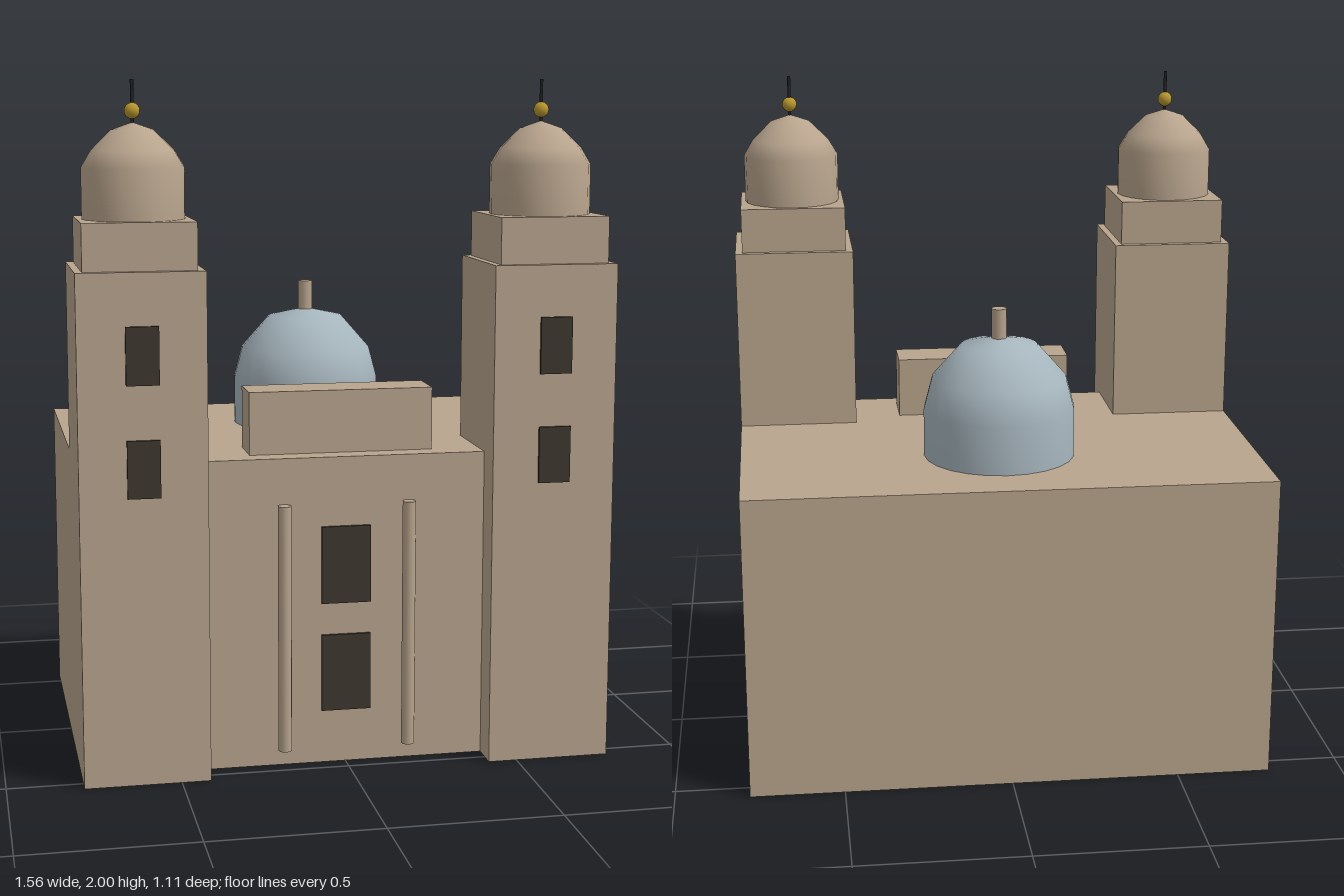
import * as THREE from 'three';

const material = (name, color) => {
  const m = new THREE.MeshStandardMaterial({ color });
  m.name = name;
  return m;
};

export function createModel() {
  const stone = material('sandstone', 0xb8a48d);
  const slate = material('pale blue dome', 0xa6b5bd);
  const dark = material('dark opening', 0x3d372e);
  const gold = material('gold', 0xb8962e);
  const iron = material('black iron', 0x222222);

  const root = new THREE.Group();
  root.name = 'church';

  const add = (parent, name, geometry, mat, x, y, z) => {
    const mesh = new THREE.Mesh(geometry, mat);
    mesh.name = name;
    mesh.position.set(x, y, z);
    parent.add(mesh);
    return mesh;
  };
  // Box given by its size, with y at its base
  const block = (parent, name, w, h, d, x, y, z, mat = stone) =>
    add(parent, name, new THREE.BoxGeometry(w, h, d), mat, x, y + h / 2, z);
  // Upright round bar, with y at its base
  const bar = (parent, name, r, h, x, y, z, mat = stone, sides = 12) =>
    add(parent, name, new THREE.CylinderGeometry(r, r, h, sides), mat, x, y + h / 2, z);
  // Dome turned from a straight drum and a faceted crown
  const dome = (parent, name, points, sides, mat, x, y, z) =>
    add(parent, name, new THREE.LatheGeometry(points.map(([r, h]) => new THREE.Vector2(r, h)), sides), mat, x, y, z);

  // Main hall and roof parapet
  block(root, 'hall', 1.56, 0.92, 1.01, 0, 0, -0.055);
  block(root, 'parapet', 0.546, 0.185, 0.137, 0, 0.92, 0.314);

  // Rear dome with lantern
  dome(root, 'mainDome', [[0.228, 0], [0.228, 0.145], [0.203, 0.24], [0.115, 0.34], [0, 0.365]],
    24, slate, 0, 0.92, -0.19);
  bar(root, 'lantern', 0.023, 0.11, 0, 1.26, -0.19);

  // Door and window on the facade
  block(root, 'door', 0.146, 0.23, 0.0095, 0, 0.16, 0.455, dark);
  block(root, 'facadeWindow', 0.146, 0.23, 0.0095, 0, 0.485, 0.455, dark);

  for (const side of [-1, 1]) {
    bar(root, 'facadeColumn', 0.02, 0.735, side * 0.185, 0.05, 0.47);

    // Bell tower
    const tower = new THREE.Group();
    tower.name = side > 0 ? 'leftTower' : 'rightTower';
    tower.position.set(side * 0.5975, 0, 0.3625);
    root.add(tower);
    block(tower, 'towerShaft', 0.365, 1.475, 0.365, 0, 0, 0);
    block(tower, 'towerTopTier', 0.322, 0.135, 0.322, 0, 1.475, 0);
    dome(tower, 'towerDome', [[0.147, 0], [0.147, 0.145], [0.118, 0.193], [0.06, 0.25], [0, 0.27]],
      20, stone, 0, 1.61, 0);
    add(tower, 'finialBall', new THREE.SphereGeometry(0.023, 12, 8), gold, 0, 1.912, 0);
    bar(tower, 'finialSpike', 0.005, 0.125, 0, 1.875, 0, iron, 8);
    for (const y of [0.84, 1.16])
      block(tower, 'towerWindow', 0.094, 0.165, 0.0095, 0, y, 0.187, dark);
  }
  return root;
}
